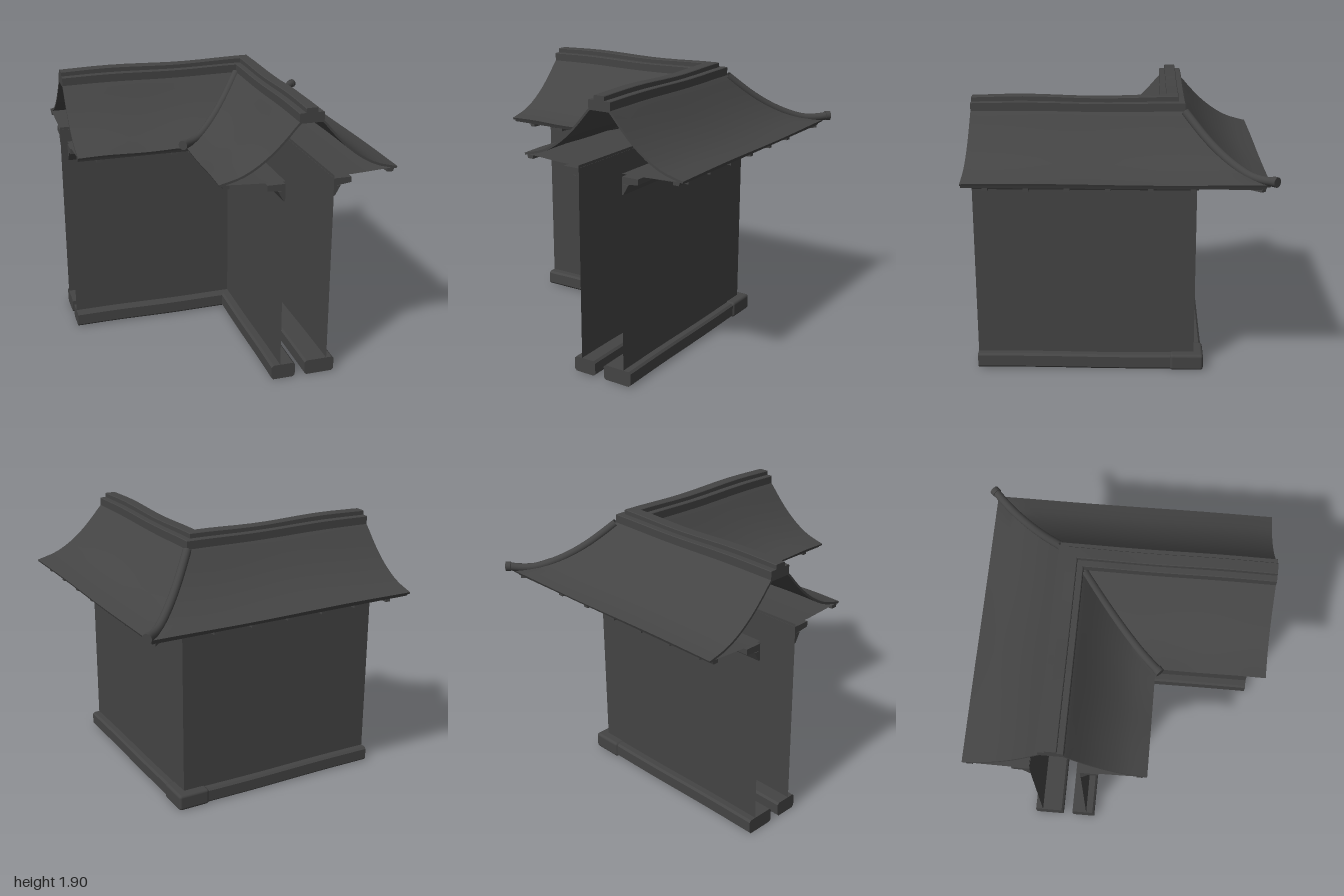
import * as THREE from 'three';
import { toCreasedNormals } from 'three/addons/utils/BufferGeometryUtils.js';
import { RoundedBoxGeometry } from 'three/addons/geometries/RoundedBoxGeometry.js';

const C = 0.345; // centre line of both arms: x = C and z = -C
const STEPS = 12;

// Point at offset d from the centre line; t runs towards the open end (1)
const onFirst = (d, y, t) => new THREE.Vector3(C + d, y, t);
const onSecond = (d, y, t) => new THREE.Vector3(-t, y, -(C + d));

// Sweep a (d, y) profile along the L with a mitred corner
function sweep(profile, { closed = true, wave = 0 } = {}) {
  const n = profile.length, pos = [], index = [];
  for (let k = 0; k <= 2 * STEPS; k++) {
    const u = Math.abs(k - STEPS) / STEPS; // 0 at the corner, 1 at the ends
    const lift = wave * Math.cos(u * 8.5);
    for (const [d, y] of profile) {
      const t = THREE.MathUtils.lerp(-(C + d), 1, u);
      pos.push(...(k <= STEPS ? onFirst : onSecond)(d, y + lift, t).toArray());
    }
  }
  for (let k = 0; k < 2 * STEPS; k++) {
    for (let i = 0; i < (closed ? n : n - 1); i++) {
      const a = k * n + i, b = k * n + (i + 1) % n;
      index.push(a, a + n, b, b, a + n, b + n);
    }
  }
  if (closed) {
    const last = 2 * STEPS * n;
    const tris = THREE.ShapeUtils.triangulateShape(profile.map(([d, y]) => new THREE.Vector2(d, y)), []);
    for (const [a, b, c] of tris) index.push(a, b, c, last + a, last + c, last + b);
  }
  const g = new THREE.BufferGeometry();
  g.setAttribute('position', new THREE.Float32BufferAttribute(pos, 3));
  g.setIndex(index);
  return toCreasedNormals(g, 0.5);
}

// Mirror a profile to the inner side, keeping its winding
const flip = (p) => p.map(([d, y]) => [-d, y]).reverse();

// Rectangle with chamfered corners, counter-clockwise
const block = (d0, d1, y0, y1, c) => [
  [d0 + c, y0], [d1 - c, y0], [d1, y0 + c], [d1, y1 - c],
  [d1 - c, y1], [d0 + c, y1], [d0, y1 - c], [d0, y0 + c],
];

export function createModel() {
  const group = new THREE.Group();
  const mat = new THREE.MeshStandardMaterial({ color: 0x444444, side: THREE.DoubleSide });
  const add = (name, geo, parent = group) => {
    const m = new THREE.Mesh(geo, mat);
    m.name = name;
    parent.add(m);
    return m;
  };

  // Footings and corner stone
  add('outerFooting', sweep(block(0.01, 0.222, 0.003, 0.108, 0.014), { wave: 0.002 }));
  add('innerFooting', sweep(block(-0.228, -0.06, 0.003, 0.108, 0.014), { wave: 0.002 }));
  add('cornerStone', new RoundedBoxGeometry(0.232, 0.115, 0.232, 3, 0.02))
    .position.set(0.461, 0.0575, -0.461);

  // Curved roof slope as a thin shell, from ridge to eave
  const top = new THREE.SplineCurve([
    [0.05, 1.835], [0.09, 1.80], [0.165, 1.715], [0.255, 1.625], [0.36, 1.545], [0.47, 1.488], [0.605, 1.452],
  ].map(([d, y]) => new THREE.Vector2(d, y))).getPoints(14).map((p) => [p.x, p.y]);
  const under = top.map(([d, y]) => [d - 0.006, y - 0.014]);
  const slope = [...under, ...top.slice().reverse()];

  // Parts that exist on both faces of the wall
  const sides = [
    ['outer', (p) => p, 1, [0.85, 0.59, 0.33, 0.07, -0.2, -0.47]],
    ['inner', flip, -1, [0.85, 0.59, 0.33]],
  ];
  for (const [side, turn, s, rafterSpots] of sides) {
    add(side + 'WallPanel', sweep(turn([[0.167, 0.09], [0.167, 1.43]]), { closed: false }));
    add(side + 'Cornice', sweep(turn([[0.165, 1.295], [0.175, 1.295], [0.212, 1.362], [0.165, 1.362]])));
    add(side + 'EaveBoard', sweep(turn([[0.165, 1.362], [0.21, 1.366], [0.285, 1.375], [0.285, 1.412], [0.165, 1.412]])));
    add(side + 'Soffit', sweep(turn([[0.167, 1.43], [0.3, 1.43], [0.45, 1.438], [0.592, 1.447]]), { closed: false }));
    add(side + 'Fascia', sweep(turn([[0.535, 1.418], [0.575, 1.418], [0.585, 1.446], [0.535, 1.442]])));
    add(side + 'RoofSlope', sweep(turn(slope), { wave: 0.003 }));

    // Rafters under the eave, on both arms, plus one along the mitre
    const rafters = new THREE.Group();
    rafters.name = side + 'Rafters';
    group.add(rafters);
    const rafter = (p, q) => {
      const m = add('rafter', new THREE.BoxGeometry(0.036, 0.038, p.distanceTo(q)), rafters);
      m.position.copy(p).lerp(q, 0.5);
      m.lookAt(q);
    };
    for (const t of rafterSpots) {
      for (const on of [onFirst, onSecond]) rafter(on(s * 0.2, 1.405, t), on(s * 0.56, 1.413, t));
    }
    const onMitre = (d, y) => new THREE.Vector3(C + s * d, y, -(C + s * d));
    rafter(onMitre(0.2, 1.405), onMitre(0.565, 1.42));

    // Round tile roll following the mitre of the roof, with a disc at its tip
    const pts = top.filter((_, i) => i > 1 && i % 2 === 0).map(([d, y]) => onMitre(d, y));
    pts[pts.length - 1] = onMitre(0.56, 1.475);
    pts.push(onMitre(0.628, 1.484));
    add(side + 'MitreRoll', new THREE.TubeGeometry(new THREE.CatmullRomCurve3(pts), 24, 0.029, 12));
    const cap = add(side + 'RollEnd', new THREE.CylinderGeometry(0.033, 0.033, 0.035, 16));
    cap.position.copy(onMitre(0.626, 1.484));
    cap.rotation.set(-Math.PI / 2, 0, -Math.PI / 4);
  }

  // Two-step ridge
  add('ridgeBase', sweep(block(-0.082, 0.082, 1.80, 1.866, 0.004), { wave: 0.004 }));
  add('ridgeCap', sweep(block(-0.04, 0.038, 1.86, 1.898, 0.004), { wave: 0.006 }));

  return group;
}
